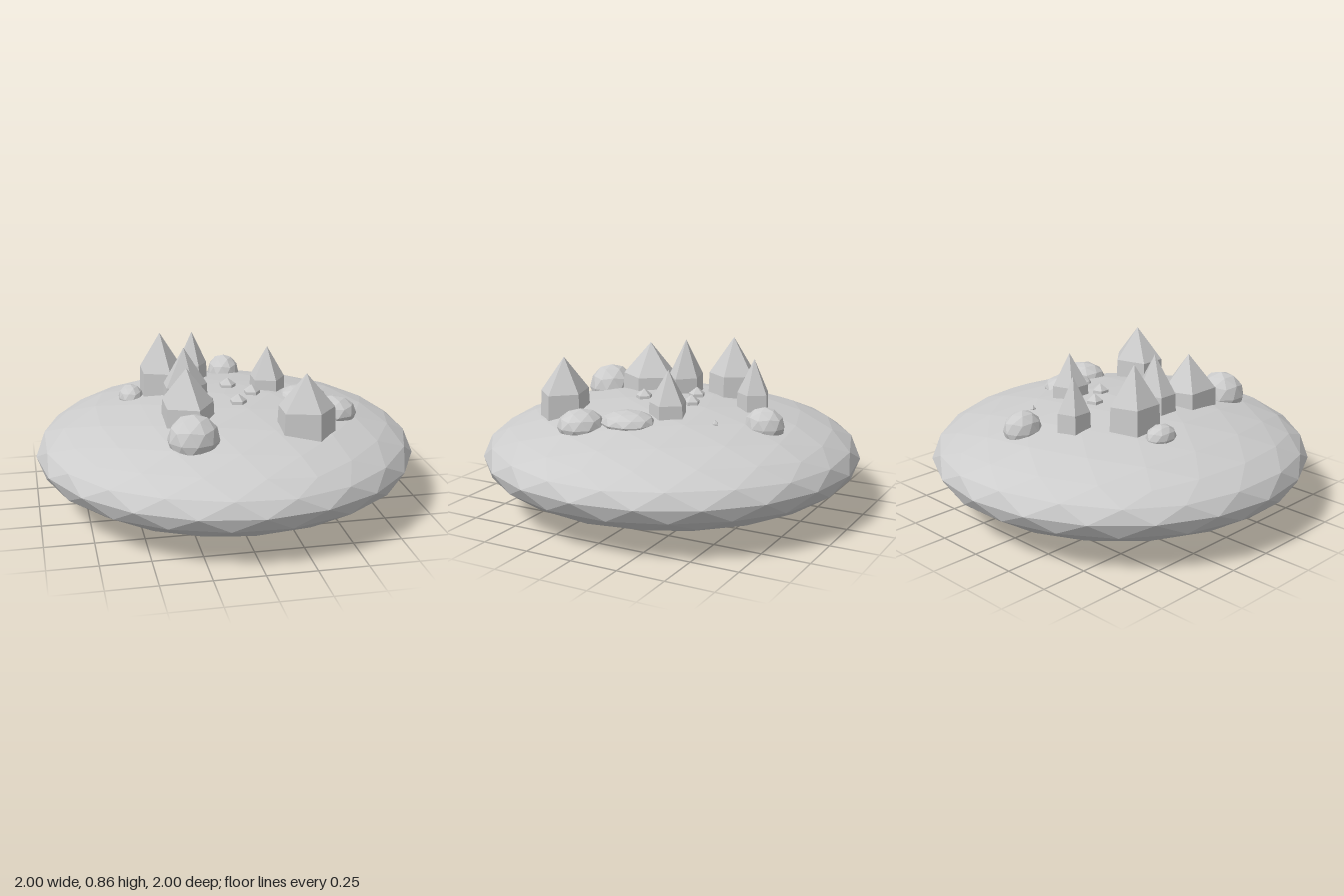
import * as THREE from 'three';

const stone = new THREE.MeshStandardMaterial({ color: 0xcccccc, flatShading: true });
stone.name = 'grey stone';

// Faceted ellipsoid with a corner pointing straight up
function facetedBall(detail, rx, ry, rz) {
  const g = new THREE.IcosahedronGeometry(1, detail);
  g.rotateX(-Math.atan((1 + Math.sqrt(5)) / 2));
  g.rotateY(Math.PI / 2);
  g.scale(rx, ry, rz);
  g.computeVertexNormals();
  return g;
}

function add(parent, name, geometry, x, y, z) {
  const mesh = new THREE.Mesh(geometry, stone);
  mesh.name = name;
  mesh.position.set(x, y, z);
  parent.add(mesh);
}

// Five-sided crystal: slightly tapered shaft with a pointed cap
function crystal(name, x, z, rx, rz, bottom, shoulder, tip) {
  const group = new THREE.Group();
  group.name = name;
  const taper = 0.94;
  const shaft = new THREE.CylinderGeometry(taper, 1, shoulder - bottom, 5, 1, true, Math.PI / 2);
  const cap = new THREE.ConeGeometry(taper, tip - shoulder, 5, 1, true, Math.PI / 2);
  for (const g of [shaft, cap]) g.scale(rx, 1, rz);
  add(group, 'shaft', shaft, 0, (bottom + shoulder) / 2, 0);
  add(group, 'cap', cap, 0, (shoulder + tip) / 2, 0);
  group.position.set(x, 0, z);
  return group;
}

export function createModel() {
  const model = new THREE.Group();
  model.name = 'crystalIsland';

  // Flattened ground
  add(model, 'ground', facetedBall(3, 1, 0.283, 1), 0, 0.283, 0);

  // Large crystals: x, z, rx, rz, shoulder, tip
  [
    [-0.10, -0.43, 0.088, 0.092, 0.62, 0.80],
    [-0.31, -0.215, 0.13, 0.143, 0.66, 0.86],
    [-0.22, 0.03, 0.13, 0.096, 0.64, 0.84],
    [-0.245, 0.265, 0.147, 0.166, 0.62, 0.80],
    [0.26, -0.12, 0.104, 0.105, 0.61, 0.78],
    [0.32, 0.467, 0.16, 0.13, 0.62, 0.80],
  ].forEach(([x, z, rx, rz, shoulder, tip], i) =>
    model.add(crystal(`largeCrystal${i + 1}`, x, z, rx, rz, 0.44, shoulder, tip)));

  // Ring of small crystals
  for (let i = 0; i < 5; i++) {
    const a = (i * 2 * Math.PI) / 5;
    model.add(crystal(`smallCrystal${i + 1}`, 0.15 * Math.cos(a), 0.15 * Math.sin(a),
      0.048, 0.046, 0.53, 0.575, 0.61));
  }

  // Lone buried tip
  model.add(crystal('tinyCrystal', 0.26, -0.385, 0.015, 0.017, 0.51, 0.535, 0.555));

  // Half-buried boulders: x, y, z, rx, ry, rz
  [
    [0.11, 0.51, -0.585, 0.09, 0.10, 0.105],
    [-0.475, 0.52, -0.195, 0.067, 0.065, 0.088],
    [0.425, 0.53, 0.02, 0.128, 0.06, 0.142],
    [0.527, 0.51, 0.235, 0.126, 0.085, 0.118],
    [-0.255, 0.52, 0.527, 0.13, 0.125, 0.126],
  ].forEach(([x, y, z, rx, ry, rz], i) =>
    add(model, `boulder${i + 1}`, facetedBall(1, rx, ry, rz), x, y, z));

  return model;
}
